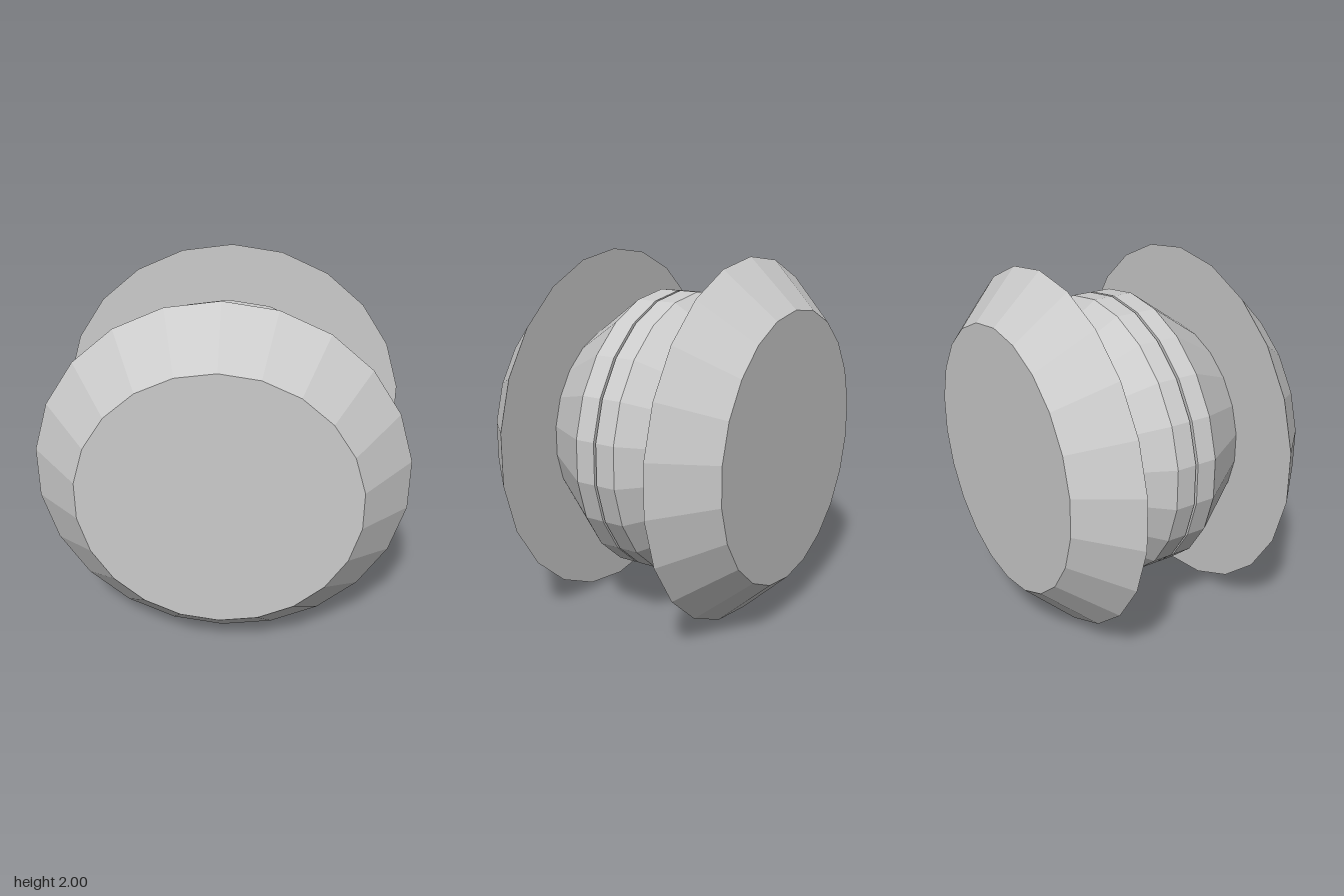
import * as THREE from 'three';

const SIDES = 22;
const material = new THREE.MeshStandardMaterial({ color: 0xcccccc, flatShading: true });

// Faceted, closed solid turned around the local y axis from [radius, height] pairs
function turned(name, profile) {
  const points = profile.map(([r, h]) => new THREE.Vector2(r, h));
  const mesh = new THREE.Mesh(new THREE.LatheGeometry(points, SIDES), material);
  mesh.name = name;
  return mesh;
}

// One half: a short band tapering outwards to a wide bevelled disc
function createHalf(name) {
  const half = new THREE.Group();
  half.name = name;
  half.add(
    turned('hub', [[0, 0.007], [0.793, 0.007], [0.793, 0.117], [0.565, 0.442], [0, 0.442]]),
    turned('rimDisc', [[0, 0.442], [1, 0.442], [0.743, 0.713], [0, 0.713]])
  );
  half.position.y = 1;
  return half;
}

export function createModel() {
  const model = new THREE.Group();
  model.name = 'spool';

  // Two identical halves facing away from each other, with a thin slot between
  const front = createHalf('frontHalf');
  front.rotation.x = Math.PI / 2;
  const back = createHalf('backHalf');
  back.rotation.x = -Math.PI / 2;

  model.add(front, back);
  return model;
}
